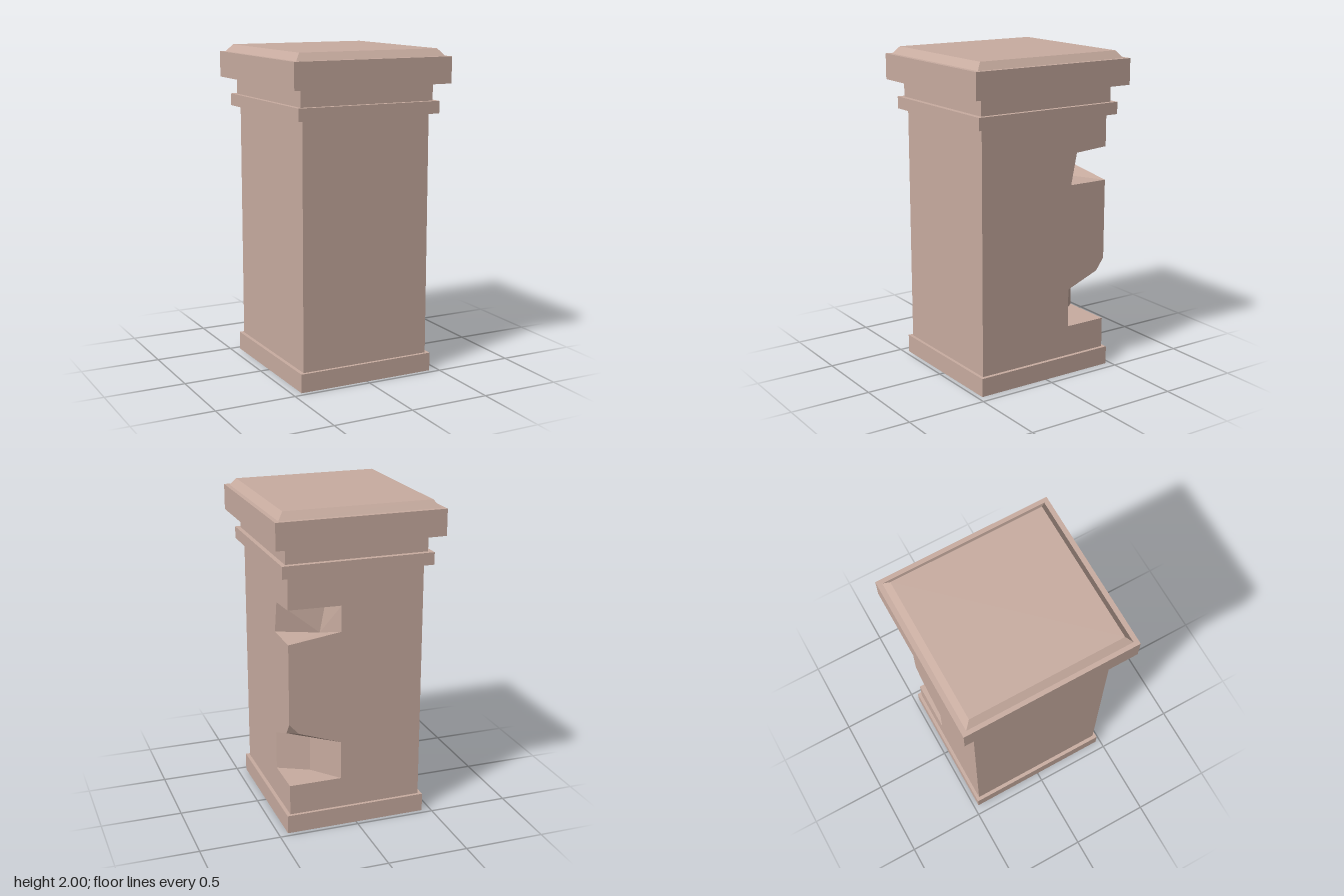
import * as THREE from 'three';

const stone = new THREE.MeshStandardMaterial({ color: 0xc8aca0 });
stone.name = 'dusty stone';

// Box between two heights; the top may be narrower than the bottom
function slab(name, y0, y1, hx, hz, topX = hx, topZ = hz) {
  const g = new THREE.BoxGeometry(2, y1 - y0, 2);
  const p = g.attributes.position;
  for (let i = 0; i < p.count; i++) {
    const top = p.getY(i) > 0;
    p.setX(i, p.getX(i) * (top ? topX : hx));
    p.setZ(i, p.getZ(i) * (top ? topZ : hz));
  }
  g.translate(0, (y0 + y1) / 2, 0);
  g.computeVertexNormals();
  const m = new THREE.Mesh(g, stone);
  m.name = name;
  return m;
}

// Flat-shaded mesh from polygons whose corners run counter-clockwise seen from outside
function polygonMesh(name, faces) {
  const out = [];
  for (const face of faces) {
    const pts = face.map((c) => new THREE.Vector3(...c));
    const n = new THREE.Vector3();
    pts.forEach((a, i) => n.add(a.clone().cross(pts[(i + 1) % pts.length])));
    const s = n.toArray().map(Math.abs);
    const drop = s.indexOf(Math.max(...s));
    const flat = face.map((c) => new THREE.Vector2(c[(drop + 1) % 3], c[(drop + 2) % 3]));
    for (const [i, j, k] of THREE.ShapeUtils.triangulateShape(flat, [])) {
      const t = pts[j].clone().sub(pts[i]).cross(pts[k].clone().sub(pts[i]));
      const order = t.dot(n) >= 0 ? [i, j, k] : [i, k, j];
      order.forEach((v) => out.push(...face[v]));
    }
  }
  const g = new THREE.BufferGeometry();
  g.setAttribute('position', new THREE.Float32BufferAttribute(out, 3));
  g.computeVertexNormals();
  const m = new THREE.Mesh(g, stone);
  m.name = name;
  return m;
}

// Shaft with two chips broken out of its back corner
function chippedShaft() {
  const X = 0.42, Z = 0.45, b = 0.05, t = 1.65, nx = 0.093;
  const corner = (sx, y, sz) => [sx * X, y, sz * Z];

  // Lower chip: rim points, then the inner edge
  const l0 = [X, 0.305, -Z], l1 = [X, 0.305, -0.18], l2 = [X, 0.545, -0.18], l3 = [X, 0.63, -0.395];
  const l4 = [X, 0.705, -Z], l5 = [0.36, 0.64, -Z], l6 = [nx, 0.545, -Z], l7 = [nx, 0.305, -Z];
  const lFloor = [0.235, 0.305, -0.277], lTop = [0.235, 0.545, -0.277];

  // Upper chip
  const u0 = [X, 1.205, -Z], u1 = [X, 1.205, -0.19], u2 = [X, 1.4, -0.23];
  const u3 = [X, 1.415, -Z], u4 = [nx, 1.41, -Z], u5 = [nx, 1.25, -Z];
  const uFloor = [0.18, 1.21, -0.31], uTop = [0.155, 1.39, -0.335];

  return polygonMesh('shaft', [
    // front and right-hand plain sides
    [corner(-1, b, 1), corner(1, b, 1), corner(1, t, 1), corner(-1, t, 1)],
    [corner(-1, b, -1), corner(-1, b, 1), corner(-1, t, 1), corner(-1, t, -1)],
    // the two notched sides
    [corner(1, b, 1), corner(1, b, -1), l0, l1, l2, l3, l4, u0, u1, u2, u3, corner(1, t, -1), corner(1, t, 1)],
    [corner(1, b, -1), corner(-1, b, -1), corner(-1, t, -1), corner(1, t, -1), u3, u4, u5, u0, l4, l5, l6, l7, l0],
    // lower chip: floor, walls, sloping ceiling, tip
    [l0, l7, lFloor, l1], [l1, lFloor, lTop, l2], [lFloor, l7, l6, lTop],
    [l2, lTop, l6, l5, l3], [l3, l5, l4],
    // upper chip: floor, walls, ceiling
    [u0, u5, uFloor, u1], [u1, uFloor, uTop, u2], [uFloor, u5, u4, uTop], [u2, uTop, u4, u3],
  ]);
}

export function createModel() {
  const pillar = new THREE.Group();
  pillar.name = 'chipped stone pillar';
  pillar.add(
    slab('base', 0, 0.115, 0.443, 0.47),
    chippedShaft(),
    slab('collar', 1.615, 1.69, 0.465, 0.497),
    slab('neck', 1.69, 1.795, 0.437, 0.465),
    slab('capSlab', 1.795, 1.955, 0.515, 0.547),
    slab('capBevel', 1.955, 2, 0.488, 0.517, 0.453, 0.48),
  );
  return pillar;
}
